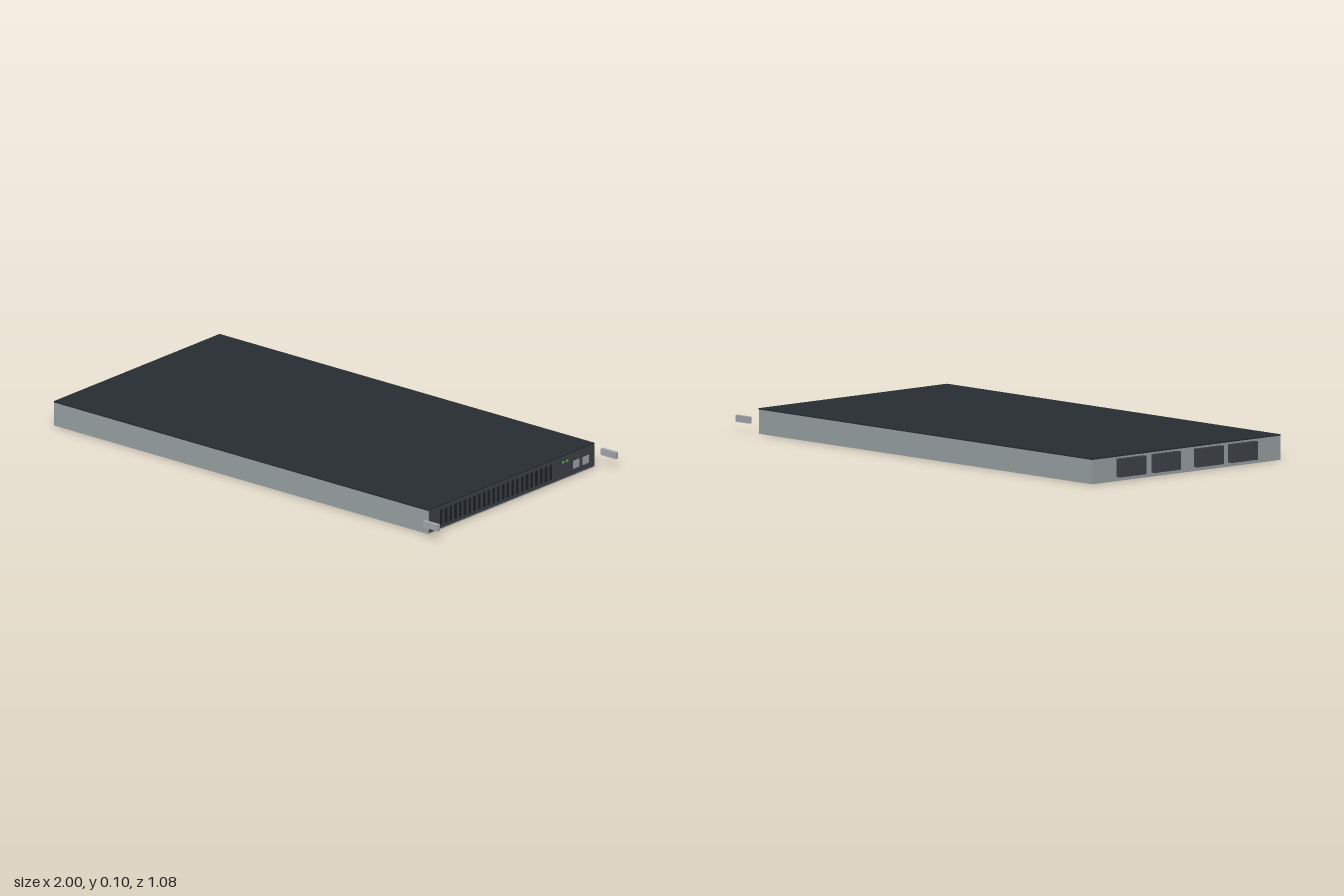
import * as THREE from 'three';

const mat = (color) => new THREE.MeshStandardMaterial({ color });
const steel = mat(0x9aa2a5), dark = mat(0x272d31), panelGrey = mat(0x3e4248);
const black = mat(0x1f2327), portGrey = mat(0xa3a7ac), green = mat(0x6fae4a);

export function createModel() {
  const group = new THREE.Group();

  // Box given by its extents on each axis
  const box = (name, material, [x0, x1], [y0, y1], [z0, z1]) => {
    const mesh = new THREE.Mesh(new THREE.BoxGeometry(x1 - x0, y1 - y0, z1 - z0), material);
    mesh.position.set((x0 + x1) / 2, (y0 + y1) / 2, (z0 + z1) / 2);
    mesh.name = name;
    group.add(mesh);
  };
  const around = (c, size) => [c - size / 2, c + size / 2];

  // Case and lid
  box('chassis', steel, [-0.98, 0.915], [0, 0.095], [-0.496, 0.496]);
  box('lid', dark, [-0.98, 0.917], [0.095, 0.1], [-0.496, 0.496]);

  // Faceplate with a row of vent slots
  box('faceplate', panelGrey, [0.915, 0.92], [0.007, 0.095], [-0.492, 0.492]);
  for (let i = 0; i < 24; i++) {
    box('ventSlot', black, [0.917, 0.9215], [0.021, 0.083], around(0.425 - i * 0.0285, 0.014));
  }

  // Status lights and ports
  for (const z of [-0.304, -0.327]) {
    box('statusLight', green, [0.917, 0.924], around(0.074, 0.007), around(z, 0.01));
  }
  for (const z of [-0.382, -0.44]) {
    box('port', portGrey, [0.917, 0.922], [0.03, 0.062], around(z, 0.037));
  }

  // Handles standing clear of both sides
  for (const side of [-1, 1]) {
    box('handle', portGrey, [0.924, 1], around(0.056, 0.026), around(side * 0.533, 0.015));
  }

  // Rear modules
  for (const z of [-0.297, -0.115, 0.11, 0.29]) {
    box('rearModule', panelGrey, [-1, -0.979], [0.016, 0.088], around(z, 0.138));
  }
  return group;
}
